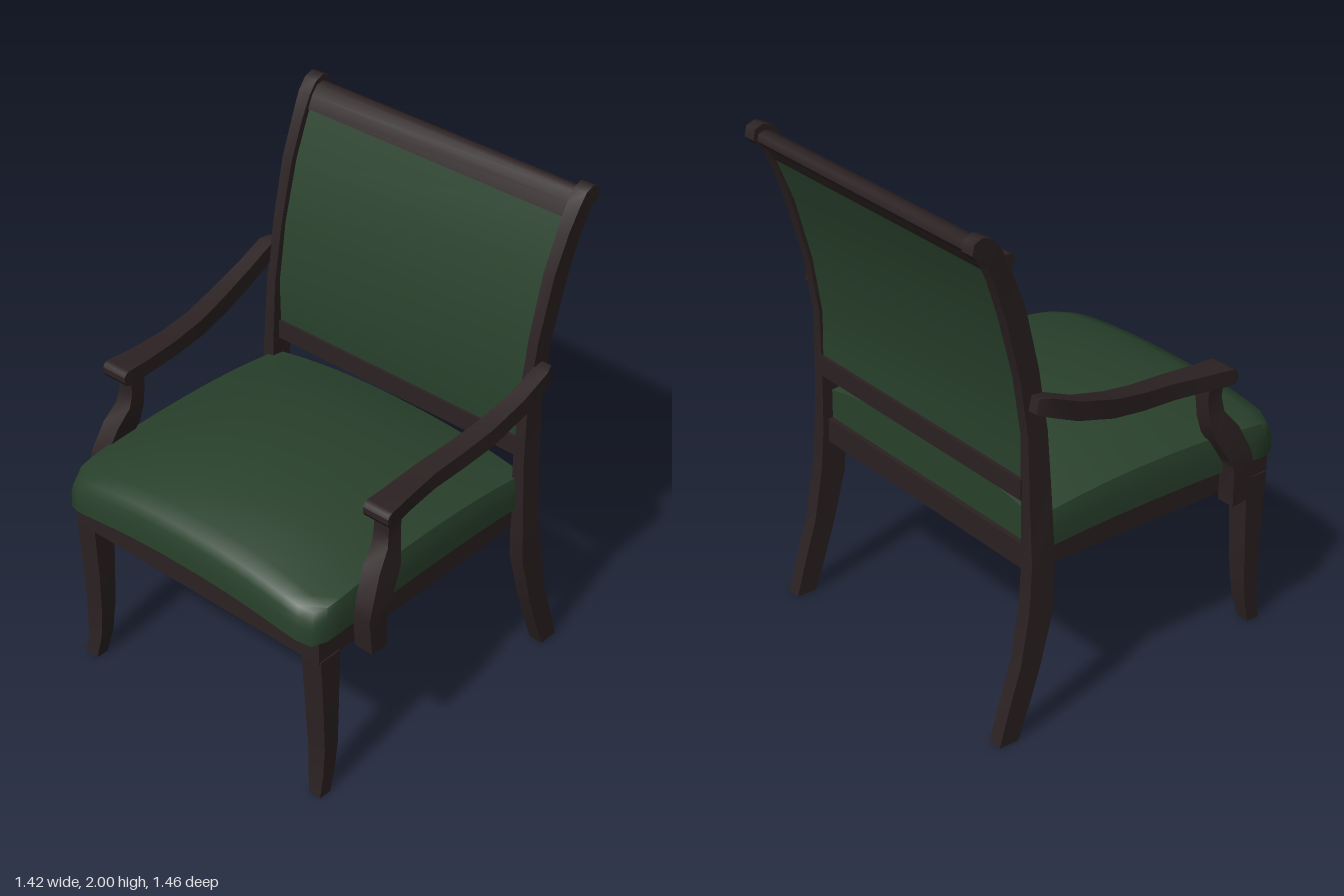
import * as THREE from 'three';
import { toCreasedNormals } from 'three/addons/utils/BufferGeometryUtils.js';

const wood = new THREE.MeshStandardMaterial({ color: 0x2b2122 });
wood.name = 'dark wood';
const fabric = new THREE.MeshStandardMaterial({ color: 0x29412c });
fabric.name = 'green upholstery';

// Four-sided bar through rows of [x0, x1, yA, zA, yB, zB]; smooth along its length, sharp at its edges
function bar(rows) {
  const pos = [], index = [];
  const rings = rows.map(([x0, x1, ya, za, yb, zb]) => [[x0, ya, za], [x1, ya, za], [x1, yb, zb], [x0, yb, zb]]);
  for (let s = 0; s < 4; s++) {
    const base = pos.length / 3;
    rings.forEach((ring, k) => {
      pos.push(...ring[s], ...ring[(s + 1) % 4]);
      if (k === 0) return;
      const a = base + 2 * (k - 1);
      index.push(a, a + 1, a + 3, a, a + 3, a + 2);
    });
  }
  // end caps
  for (const [ring, flip] of [[rings[0], true], [rings[rings.length - 1], false]]) {
    const b = pos.length / 3;
    ring.forEach(p => pos.push(...p));
    index.push(...(flip ? [b, b + 2, b + 1, b, b + 3, b + 2] : [b, b + 1, b + 2, b, b + 2, b + 3]));
  }
  const g = new THREE.BufferGeometry();
  g.setAttribute('position', new THREE.Float32BufferAttribute(pos, 3));
  g.setIndex(index);
  g.computeVertexNormals();
  return g;
}

const mirrored = rows => rows.map(([x0, x1, ...r]) => [-x1, -x0, ...r]);

// Side parts, given for the left (+x)
const sideParts = {
  BackLegAndStile: [
    [0.615, 0.675, 0, -0.555, 0, -0.64],
    [0.615, 0.675, 0.13, -0.505, 0.15, -0.595],
    [0.615, 0.675, 0.28, -0.455, 0.31, -0.543],
    [0.613, 0.675, 0.5, -0.395, 0.52, -0.505],
    [0.61, 0.67, 0.7, -0.388, 0.7, -0.49],
    [0.605, 0.655, 0.95, -0.392, 0.95, -0.488],
    [0.605, 0.648, 1.2, -0.405, 1.2, -0.49],
    [0.605, 0.648, 1.45, -0.445, 1.43, -0.525],
    [0.607, 0.655, 1.7, -0.508, 1.67, -0.588],
    [0.61, 0.66, 1.85, -0.57, 1.81, -0.635],
    [0.61, 0.667, 1.94, -0.615, 1.88, -0.665],
    [0.61, 0.667, 1.985, -0.65, 1.915, -0.683],
    [0.61, 0.667, 2, -0.69, 1.922, -0.694],
    [0.61, 0.667, 1.985, -0.725, 1.92, -0.703],
    [0.61, 0.667, 1.945, -0.734, 1.92, -0.71],
  ],
  FrontLeg: [
    [0.56, 0.615, 0, 0.68, 0, 0.625],
    [0.545, 0.617, 0.1, 0.665, 0.1, 0.603],
    [0.538, 0.62, 0.22, 0.66, 0.22, 0.59],
    [0.53, 0.62, 0.42, 0.667, 0.42, 0.585],
    [0.527, 0.62, 0.65, 0.68, 0.65, 0.58],
  ],
  ArmSupport: [
    [0.625, 0.705, 0.63, 0.507, 0.622, 0.43],
    [0.63, 0.707, 0.78, 0.525, 0.78, 0.427],
    [0.628, 0.705, 0.84, 0.508, 0.83, 0.4],
    [0.612, 0.69, 0.95, 0.455, 0.93, 0.342],
    [0.603, 0.675, 1.02, 0.397, 1.0, 0.327],
    [0.6, 0.668, 1.08, 0.385, 1.08, 0.32],
    [0.6, 0.675, 1.16, 0.388, 1.16, 0.32],
  ],
  ArmRest: [
    [0.64, 0.69, 1.305, -0.49, 1.36, -0.475],
    [0.645, 0.708, 1.285, -0.44, 1.355, -0.43],
    [0.64, 0.706, 1.232, -0.32, 1.3, -0.3],
    [0.622, 0.698, 1.182, -0.15, 1.253, -0.135],
    [0.603, 0.684, 1.157, 0, 1.226, 0.005],
    [0.59, 0.677, 1.147, 0.15, 1.212, 0.15],
    [0.587, 0.688, 1.138, 0.3, 1.2, 0.3],
    [0.587, 0.702, 1.133, 0.405, 1.197, 0.405],
    [0.587, 0.702, 1.14, 0.422, 1.19, 0.422],
    [0.587, 0.702, 1.155, 0.43, 1.177, 0.43],
  ],
};

// Crowned seat cushion: rounded upper edge, arched front, recessed underside
function cushion() {
  const g = new THREE.BoxGeometry(2, 1, 2, 16, 4, 16);
  const p = g.attributes.position;
  for (let i = 0; i < p.count; i++) {
    const u = p.getX(i), v = p.getZ(i), t = p.getY(i) + 0.5;
    const U = 1 - Math.abs(u) ** 2.2, V = 1 - Math.abs(v) ** 2.2;
    const front = Math.max(v, 0);
    const recess = Math.abs(u) < 0.8 && Math.abs(v) < 0.8 ? 0.05 : 0;
    const top = 0.857 + 0.06 * U + 0.043 * V + 0.057 * U * V;
    const bottom = 0.728 + 0.02 * V + 0.045 * U * front ** 2 + (t === 0 ? recess : 0);
    const corner = 0.05 * (Math.abs(u) * front) ** 12;
    const x = -0.008 + 0.638 * u * (1 - corner - 0.02 * t ** 4);
    const z = 0.145 + 0.59 * v * (1 - corner - front * (0.02 * U + 0.045 * t ** 4));
    p.setXYZ(i, x, bottom + (top - bottom) * t, z);
  }
  return toCreasedNormals(g, 0.9);
}

// Front rail with an arched upper edge
function frontRail() {
  const s = new THREE.Shape();
  s.moveTo(-0.615, 0.64);
  s.lineTo(0.615, 0.64);
  s.lineTo(0.615, 0.735);
  s.quadraticCurveTo(0, 0.835, -0.615, 0.735);
  return new THREE.ExtrudeGeometry(s, { depth: 0.05, bevelEnabled: false, curveSegments: 16 }).translate(0, 0, 0.635);
}

export function createModel() {
  const chair = new THREE.Group();
  chair.name = 'armchair';
  const add = (name, geometry, material) => {
    const m = new THREE.Mesh(geometry, material);
    m.name = name;
    chair.add(m);
  };

  // Legs, stiles and arms on both sides
  for (const [name, rows] of Object.entries(sideParts)) {
    add('left' + name, bar(rows), wood);
    add('right' + name, bar(mirrored(rows)), wood);
  }

  // Seat frame
  add('frontRail', frontRail(), wood);
  add('backRail', new THREE.BoxGeometry(1.23, 0.1, 0.05).translate(0, 0.69, -0.44), wood);
  for (const [side, name] of [[1, 'left'], [-1, 'right']]) {
    add(name + 'SideRail', new THREE.BoxGeometry(0.05, 0.112, 1.05).translate(side * 0.59, 0.696, 0.11), wood);
  }
  add('seatCushion', cushion(), fabric);

  // Backrest between the stiles
  const w = 0.612;
  add('lowerBackRail', new THREE.BoxGeometry(2 * w, 0.08, 0.07).translate(0, 0.98, -0.46), wood);
  add('backPanel', bar([
    [-w, w, 1.01, -0.437, 1.01, -0.48],
    [-w, w, 1.2, -0.432, 1.2, -0.475],
    [-w, w, 1.45, -0.468, 1.43, -0.51],
    [-w, w, 1.7, -0.535, 1.68, -0.575],
    [-w, w, 1.9, -0.62, 1.87, -0.65],
  ]), fabric);
  add('topRail', bar([
    [-w, w, 1.885, -0.605, 1.855, -0.65],
    [-w, w, 1.935, -0.628, 1.895, -0.675],
    [-w, w, 1.968, -0.655, 1.918, -0.687],
    [-w, w, 1.975, -0.687, 1.925, -0.694],
    [-w, w, 1.965, -0.712, 1.925, -0.7],
    [-w, w, 1.94, -0.717, 1.922, -0.704],
  ]), wood);
  return chair;
}
